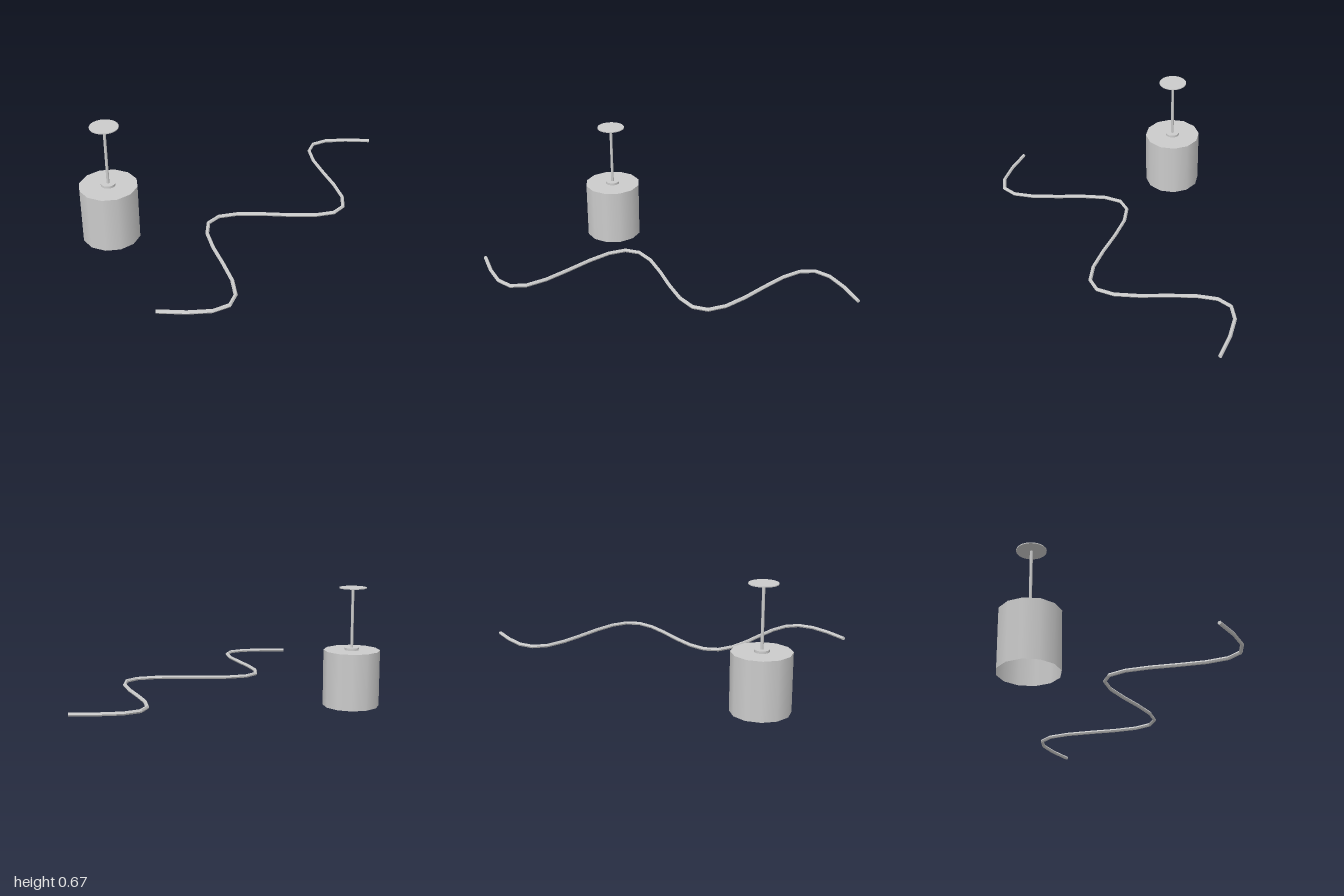
import * as THREE from 'three';

const grey = new THREE.MeshStandardMaterial({ color: 0xcccccc, side: THREE.DoubleSide });

// Upright cylinder standing on height y0
function cylinder(name, radius, y0, y1, sides) {
  const geo = new THREE.CylinderGeometry(radius, radius, y1 - y0, sides);
  const mesh = new THREE.Mesh(geo, grey);
  mesh.name = name;
  mesh.position.y = (y0 + y1) / 2;
  return mesh;
}

// Two full waves along z, sampled evenly in z
class WaveCurve extends THREE.Curve {
  getPoint(t, target = new THREE.Vector3()) {
    return target.set(0.32 - 0.247 * Math.sin(4 * Math.PI * t), 0.158, -0.991 + 1.982 * t);
  }
  getUtoTmapping(u) {
    return u;
  }
}

export function createModel() {
  const model = new THREE.Group();

  // Hollow drum, open underneath, with a lid
  const plunger = new THREE.Group();
  plunger.name = 'drumWithHandle';
  plunger.position.set(-0.422, 0, 0.492);
  const wall = new THREE.Mesh(new THREE.CylinderGeometry(0.157, 0.157, 0.315, 12, 1, true), grey);
  wall.name = 'drumWall';
  wall.position.y = 0.1575;
  const lid = new THREE.Mesh(new THREE.CircleGeometry(0.157, 12), grey);
  lid.name = 'drumLid';
  lid.rotation.x = -Math.PI / 2;
  lid.position.y = 0.315;

  // Collar, rod and top disc
  plunger.add(
    wall,
    lid,
    cylinder('collar', 0.039, 0.315, 0.328, 24),
    cylinder('rod', 0.008, 0.328, 0.66, 12),
    cylinder('topDisc', 0.076, 0.66, 0.665, 32)
  );

  // Wavy rod with a six-sided section, its points to the sides
  const section = new THREE.Shape();
  for (let i = 0; i < 6; i++) {
    const a = Math.PI / 2 + (i * Math.PI) / 3;
    const x = 0.01 * Math.cos(a), y = 0.01 * Math.sin(a);
    if (i === 0) section.moveTo(x, y);
    else section.lineTo(x, y);
  }
  section.closePath();
  const wave = new THREE.Mesh(
    new THREE.ExtrudeGeometry(section, { steps: 25, bevelEnabled: false, extrudePath: new WaveCurve() }),
    grey
  );
  wave.name = 'wavyRod';

  model.add(plunger, wave);
  return model;
}
